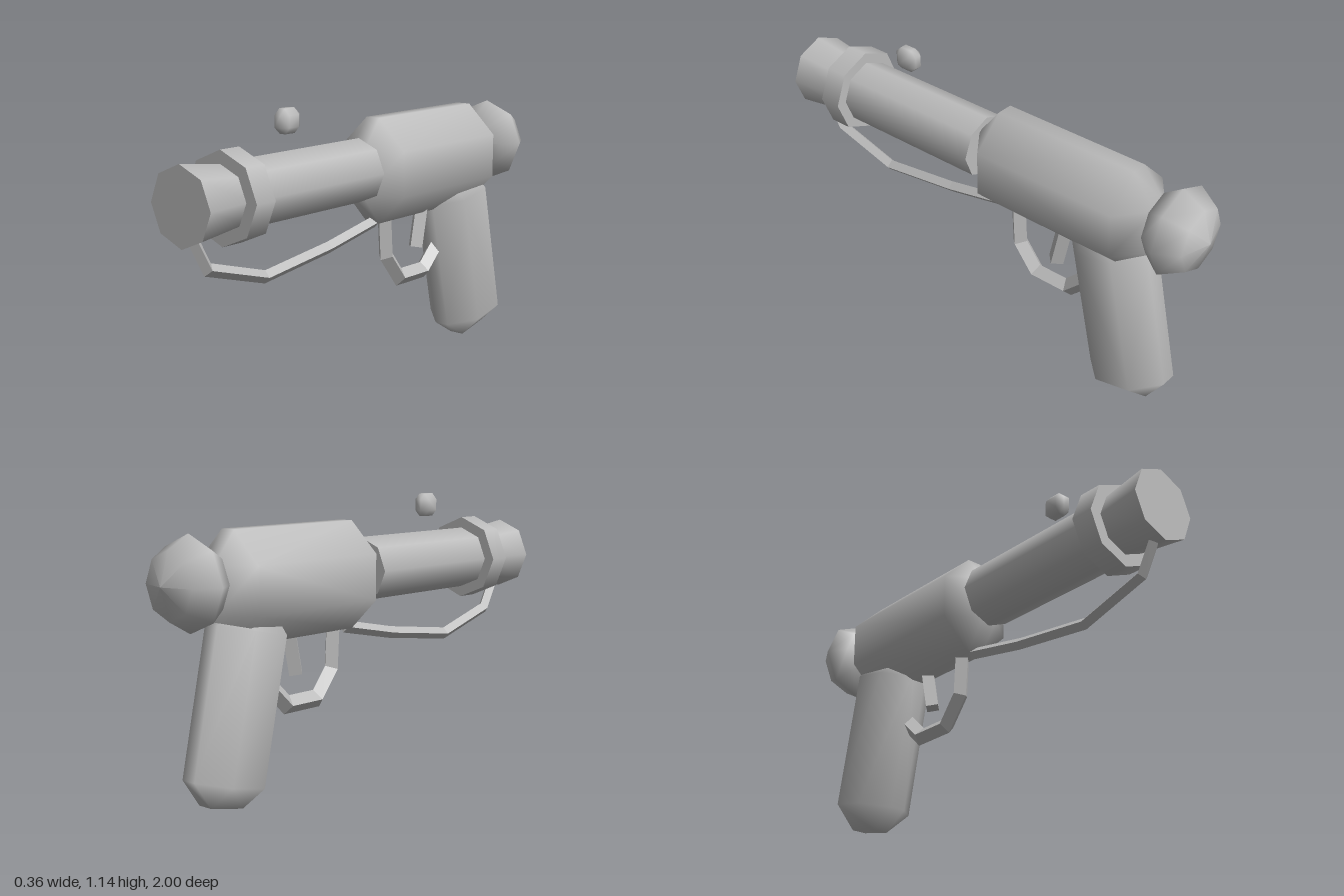
import * as THREE from 'three';
import { mergeVertices } from 'three/addons/utils/BufferGeometryUtils.js';
import { ConvexGeometry } from 'three/addons/geometries/ConvexGeometry.js';

// Box with every edge and corner cut back by the bevel, smooth shaded
function bevelledBox([hx, hy, hz], [bx, by, bz]) {
  const points = [];
  for (const x of [-1, 1]) for (const y of [-1, 1]) for (const z of [-1, 1]) {
    points.push(
      new THREE.Vector3(x * hx, y * (hy - by), z * (hz - bz)),
      new THREE.Vector3(x * (hx - bx), y * hy, z * (hz - bz)),
      new THREE.Vector3(x * (hx - bx), y * (hy - by), z * hz));
  }
  const hull = new ConvexGeometry(points);
  hull.deleteAttribute('normal');
  const geometry = mergeVertices(hull, 1e-4);
  geometry.computeVertexNormals();
  return geometry;
}

// Mitred bar with a diamond section, following [z, y] points
function diamondBar(path, radius) {
  const pts = path.map(([z, y]) => new THREE.Vector3(0, y, z));
  const xAxis = new THREE.Vector3(1, 0, 0);
  const positions = [], index = [];
  const last = pts.length - 1;
  pts.forEach((p, i) => {
    const before = p.clone().sub(pts[Math.max(i - 1, 0)]).normalize();
    const after = pts[Math.min(i + 1, last)].clone().sub(p).normalize();
    const tangent = before.clone().add(after).normalize();
    const mitre = radius / tangent.dot(i === 0 ? after : before);
    const side = xAxis.clone().cross(tangent).multiplyScalar(mitre);
    const across = xAxis.clone().multiplyScalar(radius);
    for (const [v, s] of [[across, 1], [side, 1], [across, -1], [side, -1]]) {
      positions.push(...p.clone().addScaledVector(v, s).toArray());
    }
    if (i === last) return;
    for (let k = 0; k < 4; k++) {
      const a = i * 4 + k, b = i * 4 + (k + 1) % 4;
      index.push(a, a + 4, b + 4, a, b + 4, b);
    }
  });
  const e = last * 4;
  index.push(0, 1, 2, 0, 2, 3, e, e + 2, e + 1, e, e + 3, e + 2);
  const indexed = new THREE.BufferGeometry();
  indexed.setAttribute('position', new THREE.Float32BufferAttribute(positions, 3));
  indexed.setIndex(index);
  const geometry = indexed.toNonIndexed();
  geometry.computeVertexNormals();
  return geometry;
}

// Eight-sided tube section lying along z
function octagon(backRadius, frontRadius, z0, z1) {
  return new THREE.CylinderGeometry(frontRadius, backRadius, z1 - z0, 8)
    .rotateX(Math.PI / 2).translate(0, 0.85, (z0 + z1) / 2);
}

export function createModel() {
  const model = new THREE.Group();
  const grey = new THREE.MeshStandardMaterial({ color: 0xbcbcbc });
  grey.name = 'grey';
  const add = (name, geometry, x = 0, y = 0, z = 0) => {
    const mesh = new THREE.Mesh(geometry, grey);
    mesh.name = name;
    mesh.position.set(x, y, z);
    model.add(mesh);
    return mesh;
  };

  // Barrel, collar and flared muzzle
  add('barrel', octagon(0.131, 0.131, 0.04, 0.8));
  add('collar', octagon(0.177, 0.177, 0.71, 0.805));
  add('muzzle', octagon(0.122, 0.151, 0.78, 1));

  // Body and tilted grip
  add('body', bevelledBox([0.163, 0.217, 0.415], [0.13, 0.125, 0.1]), 0, 0.838, -0.365);
  const grip = add('grip', bevelledBox([0.133, 0.382, 0.18], [0.1, 0.094, 0.1]), 0, 0.394, -0.655);
  grip.rotation.x = 0.215;

  // Rounded knob at the rear
  const knobProfile = [[0, -1], [0.127, -0.962], [0.18, -0.868], [0.127, -0.79], [0, -0.765]]
    .map(([r, z]) => new THREE.Vector2(r, z));
  add('rearKnob', new THREE.LatheGeometry(knobProfile, 8).rotateX(Math.PI / 2), 0, 0.87, 0);

  // Bead sight above the barrel
  add('sight', bevelledBox([0.036, 0.048, 0.053], [0.022, 0.025, 0.027]), 0, 1.094, 0.457);

  // Under-barrel rod, trigger guard and trigger
  add('underBarrelRod', diamondBar(
    [[0.95, 0.73], [0.88, 0.604], [0.59, 0.52], [0.23, 0.567], [-0.06, 0.625]], 0.025));
  add('triggerGuard', diamondBar(
    [[-0.125, 0.66], [-0.137, 0.465], [-0.225, 0.355], [-0.39, 0.355], [-0.51, 0.47]], 0.036));
  add('trigger', diamondBar([[-0.372, 0.67], [-0.33, 0.47]], 0.036), 0.009);

  return model;
}
